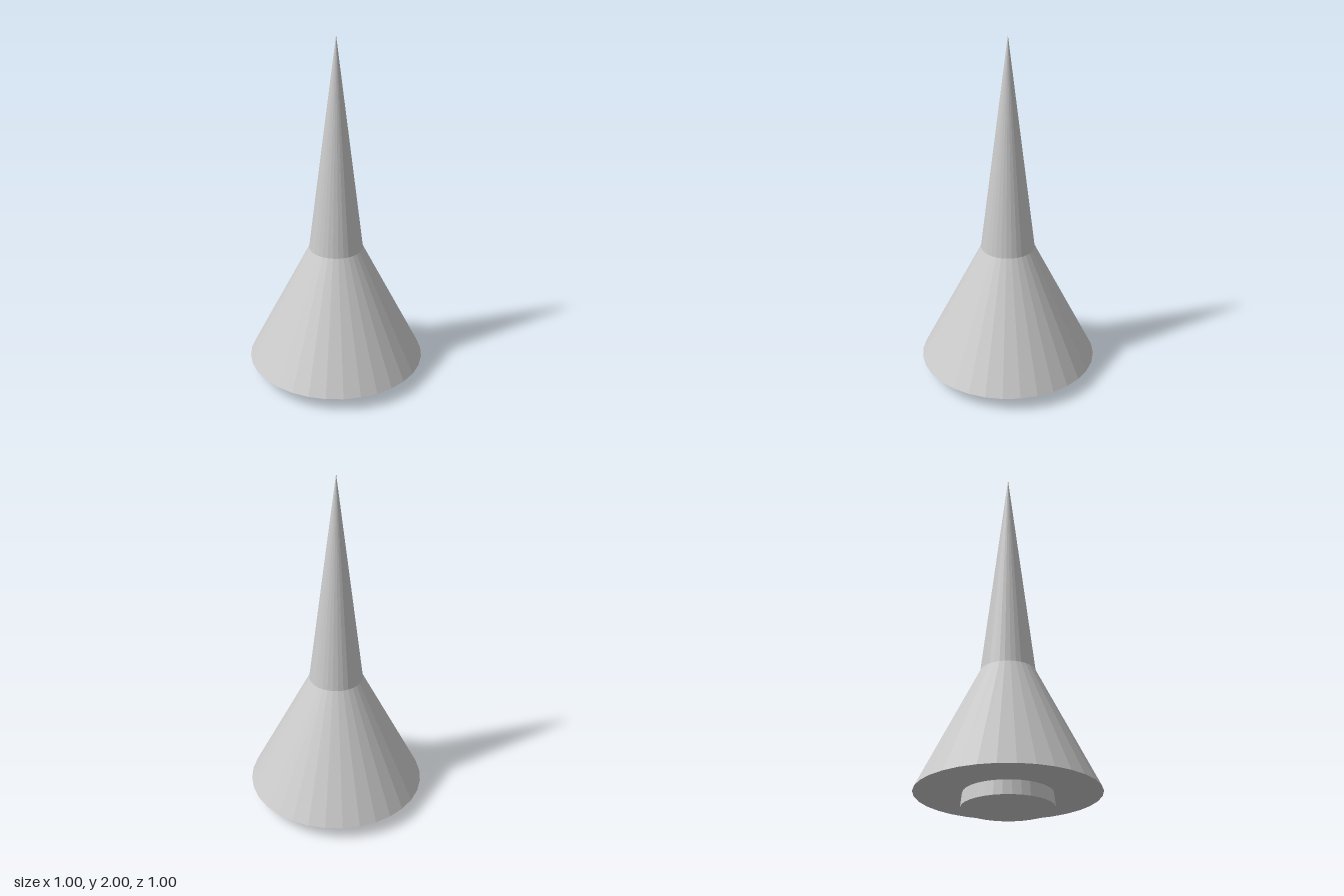
import * as THREE from 'three';

const SIDES = 32;

export function createModel() {
  const group = new THREE.Group();
  const material = new THREE.MeshStandardMaterial({ color: 0xcccccc, flatShading: true });

  // Tapered round section standing between two heights
  function section(name, bottomRadius, topRadius, y0, y1) {
    const geometry = new THREE.CylinderGeometry(topRadius, bottomRadius, y1 - y0, SIDES);
    const mesh = new THREE.Mesh(geometry, material);
    mesh.name = name;
    mesh.position.y = (y0 + y1) / 2;
    group.add(mesh);
  }

  // Short plug under the flared skirt
  section('basePlug', 0.25, 0.24, 0, 0.08);
  // Wide flared skirt
  section('flaredSkirt', 0.5, 0.152, 0.08, 0.77);
  // Long pointed spire
  section('spire', 0.152, 0, 0.77, 2);

  return group;
}
